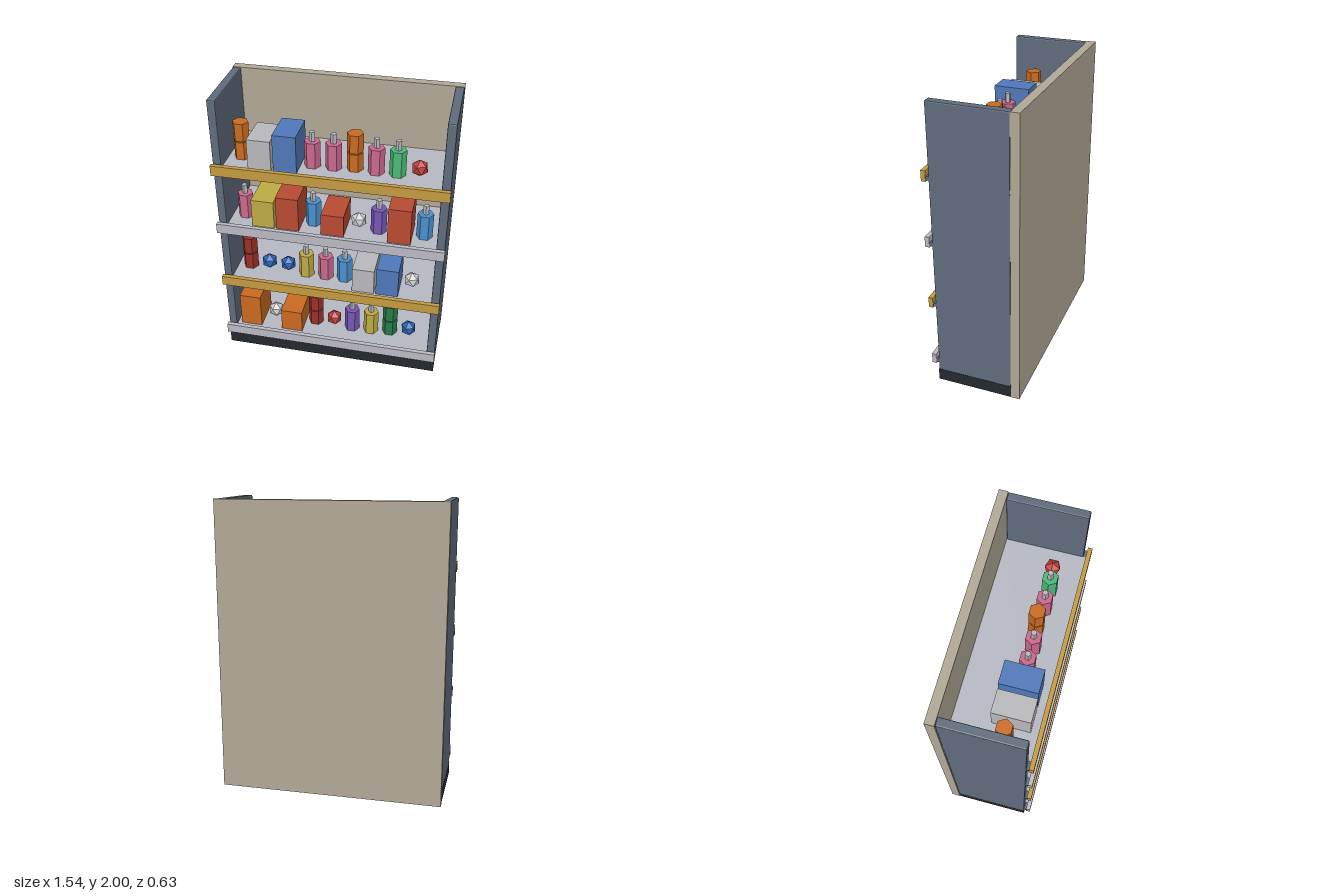
import * as THREE from 'three';
import { RoundedBoxGeometry } from 'three/addons/geometries/RoundedBoxGeometry.js';

const COLORS = {
  steel: 0x5f6b7c, plinth: 0x24282e, panel: 0xb0a896, deck: 0xb6b8c2,
  gold: 0xc49a40, silver: 0xbab8c2, orange: 0xc86a20, grey: 0xb8b8bc,
  blue: 0x4f78b8, sky: 0x4a90cc, navy: 0x2866b8, pink: 0xc8688c,
  green: 0x4cb878, forest: 0x2a7a48, red: 0xb84a32, crimson: 0xc0403c,
  maroon: 0x9a3028, yellow: 0xbcaa44, purple: 0x7656b4, white: 0xc8c8c8,
};

const materials = {};
function mat(name) {
  materials[name] ??= new THREE.MeshStandardMaterial({ color: COLORS[name], flatShading: true });
  return materials[name];
}

function mesh(name, geometry, color, x, y, z) {
  const m = new THREE.Mesh(geometry, mat(color));
  m.name = name;
  m.position.set(x, y, z);
  return m;
}

// Box given by its min and max on each axis
function block(name, color, x0, x1, y0, y1, z0, z1) {
  return mesh(name, new THREE.BoxGeometry(x1 - x0, y1 - y0, z1 - z0), color,
    (x0 + x1) / 2, (y0 + y1) / 2, (z0 + z1) / 2);
}

// Hexagonal prism with its corners pointing along x
function hexPrism(radius, height) {
  return new THREE.CylinderGeometry(radius, radius, height, 6).rotateY(Math.PI / 6);
}

// Goods, each standing on y = 0 of its own group
const goods = {
  carton(g, color, height) {
    g.add(block('carton', color, -0.077, 0.077, 0, height, -0.012, 0.235));
  },
  bottle(g, color) {
    g.add(mesh('bottleBody', hexPrism(0.054, 0.18), color, 0, 0.09, 0.11));
    g.add(mesh('bottleNeck', new THREE.CylinderGeometry(0.02, 0.02, 0.065, 5), 'grey', 0, 0.212, 0.11));
  },
  // Two cans stacked with a narrow gap
  cans(g, color) {
    for (const y of [0.061, 0.195]) {
      g.add(mesh('can', hexPrism(0.054, 0.126), color, 0, y, 0.095));
    }
  },
  // Faceted ball turned so that a corner points up
  ball(g, color) {
    const geo = new THREE.IcosahedronGeometry(0.057, 0)
      .rotateZ(Math.atan(2 / (1 + Math.sqrt(5))));
    g.add(mesh('ball', geo, color, 0, 0.057, 0.095));
  },
};

// Shelves from top to bottom: floor height, rail colour and goods from left to right in x
const shelves = [
  { y: 1.53, rail: 'gold', items: [
    ['cans', -0.617, 'orange'], ['carton', -0.462, 'grey', 0.205], ['carton', -0.293, 'blue', 0.255],
    ['bottle', -0.14, 'pink'], ['bottle', 0, 'pink'], ['cans', 0.136, 'orange'],
    ['bottle', 0.276, 'pink'], ['bottle', 0.414, 'green'], ['ball', 0.552, 'crimson']] },
  { y: 1.078, rail: 'silver', items: [
    ['bottle', -0.617, 'pink'], ['carton', -0.462, 'yellow', 0.203], ['carton', -0.293, 'red', 0.246],
    ['bottle', -0.14, 'sky'], ['carton', 0.013, 'red', 0.155], ['ball', 0.168, 'white'],
    ['bottle', 0.306, 'purple'], ['carton', 0.459, 'red', 0.262], ['bottle', 0.614, 'sky']] },
  { y: 0.626, rail: 'gold', items: [
    ['cans', -0.617, 'maroon'], ['ball', -0.478, 'navy'], ['ball', -0.339, 'navy'],
    ['bottle', -0.2, 'yellow'], ['bottle', -0.06, 'pink'], ['bottle', 0.076, 'sky'],
    ['carton', 0.229, 'grey', 0.19], ['carton', 0.397, 'blue', 0.215], ['ball', 0.552, 'white']] },
  { y: 0.172, rail: 'silver', items: [
    ['carton', -0.602, 'orange', 0.262], ['ball', -0.45, 'white'], ['carton', -0.293, 'orange', 0.172],
    ['cans', -0.14, 'maroon'], ['ball', -0.002, 'crimson'], ['bottle', 0.136, 'purple'],
    ['bottle', 0.276, 'yellow'], ['cans', 0.414, 'forest'], ['ball', 0.552, 'navy']] },
];

export function createModel() {
  const model = new THREE.Group();
  model.name = 'stockedShelf';

  // Carcass
  model.add(block('backPanel', 'panel', -0.768, 0.768, 0, 2, -0.315, -0.255));
  model.add(block('plinth', 'plinth', -0.766, 0.766, 0, 0.085, -0.255, 0.268));
  for (const [name, side] of [['leftSide', 1], ['rightSide', -1]]) {
    const geo = new RoundedBoxGeometry(0.057, 1.92, 0.52, 1, 0.008);
    model.add(mesh(name, geo, 'steel', side * 0.737, 1.04, 0.006));
  }

  for (const { y, rail, items } of shelves) {
    const shelf = new THREE.Group();
    shelf.name = 'shelf';
    shelf.position.y = y;

    // Board, its pale deck and the price rail along the front
    shelf.add(block('shelfBoard', 'steel', -0.764, 0.764, -0.032, -0.006, -0.3, 0.284));
    shelf.add(block('shelfDeck', 'deck', -0.71, 0.71, -0.008, 0, -0.256, 0.284));
    shelf.add(block('priceRail', rail, -0.768, 0.768, -0.041, 0.031, 0.283, 0.313));

    for (const [kind, x, color, height] of items) {
      const item = new THREE.Group();
      item.name = kind;
      item.position.x = x;
      goods[kind](item, color, height);
      shelf.add(item);
    }
    model.add(shelf);
  }
  return model;
}
